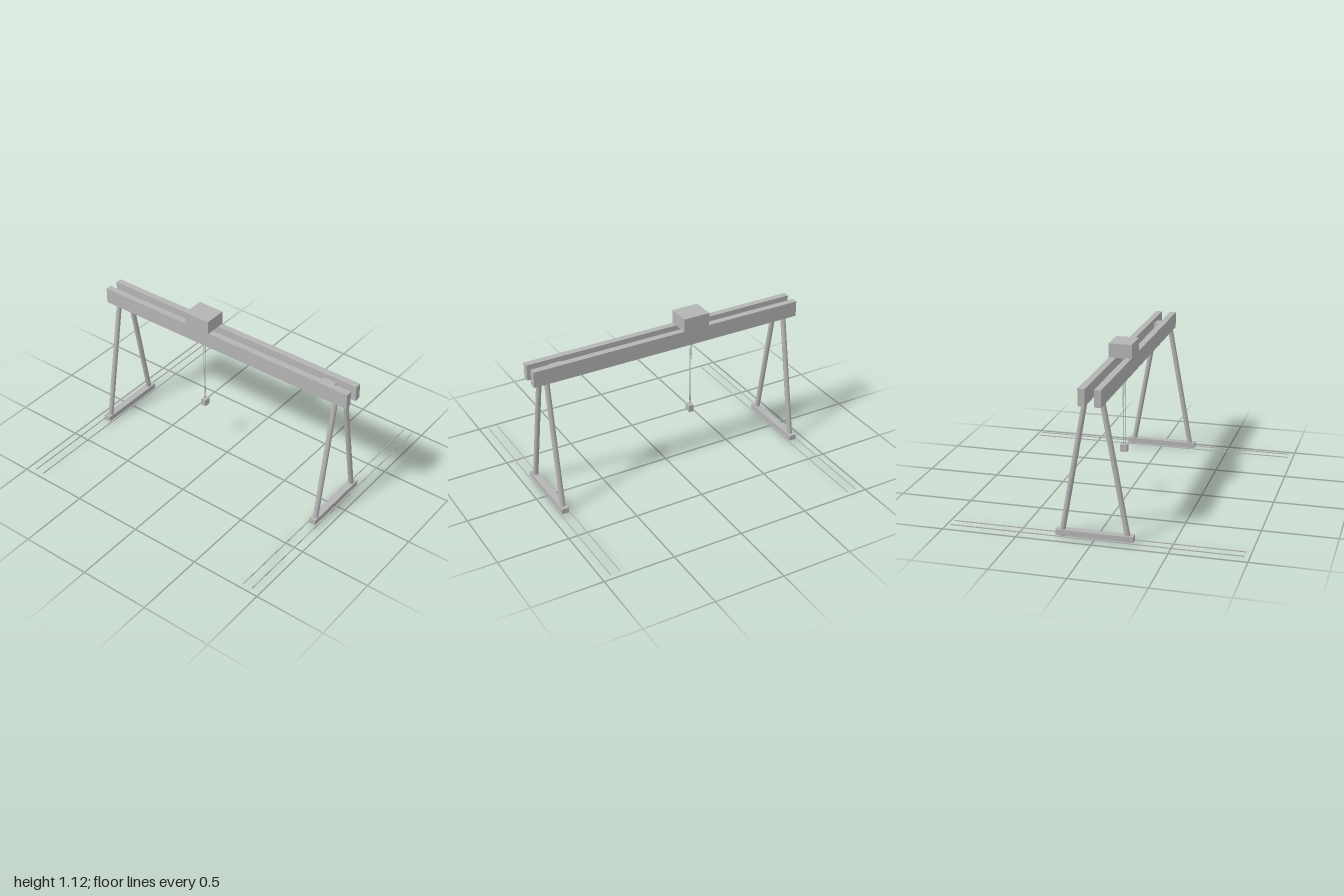
import * as THREE from 'three';

export function createModel() {
  const crane = new THREE.Group();
  crane.name = 'gantryCrane';
  const grey = new THREE.MeshStandardMaterial({ color: 0xb4b4b4 });
  grey.name = 'paintedSteelGrey';

  const add = (name, geometry, x, y, z, parent = crane) => {
    const mesh = new THREE.Mesh(geometry, grey);
    mesh.name = name;
    mesh.position.set(x, y, z);
    parent.add(mesh);
    return mesh;
  };
  const box = (name, w, h, d, x, y, z, parent) =>
    add(name, new THREE.BoxGeometry(w, h, d), x, y, z, parent);

  // Round bar between two points
  const bar = (name, from, to, radius, sides, parent) => {
    const dir = to.clone().sub(from);
    const mid = from.clone().add(to).multiplyScalar(0.5);
    const mesh = add(name, new THREE.CylinderGeometry(radius, radius, dir.length(), sides),
      mid.x, mid.y, mid.z, parent);
    mesh.quaternion.setFromUnitVectors(new THREE.Vector3(0, 1, 0), dir.normalize());
    return mesh;
  };

  // Twin girders
  for (const side of [1, -1]) {
    box(side > 0 ? 'leftGirder' : 'rightGirder', 0.045, 0.112, 2, side * 0.0525, 0.97, 0);
  }

  // Block between the girders near the front end
  box('girderBlock', 0.06, 0.08, 0.095, 0, 0.954, 0.805);

  // A-frame supports with base beam and rails at each end
  for (const end of [1, -1]) {
    const support = new THREE.Group();
    support.name = end > 0 ? 'frontSupport' : 'backSupport';
    crane.add(support);
    const z = end * 0.905;
    box('baseBeam', 0.512, 0.038, 0.05, 0, 0.032, z, support);
    for (const side of [1, -1]) {
      bar(side > 0 ? 'leftLeg' : 'rightLeg',
        new THREE.Vector3(side * 0.222, 0.004, z),
        new THREE.Vector3(side * 0.057, 0.92, z), 0.018, 24, support);
      box('rail', 1.935, 0.006, 0.005, 0, 0.01, z + side * 0.034, support);
    }
  }

  // Trolley with hoist cables and load block
  const hoist = new THREE.Group();
  hoist.name = 'hoist';
  hoist.position.z = -0.195;
  crane.add(hoist);
  box('trolley', 0.158, 0.095, 0.192, 0, 1.073, 0, hoist);
  for (const side of [1, -1]) {
    bar('hoistCable', new THREE.Vector3(side * 0.007, 0.39, 0),
      new THREE.Vector3(side * 0.007, 1.03, 0), 0.002, 8, hoist);
  }
  box('loadBlock', 0.048, 0.05, 0.036, 0, 0.37, 0.003, hoist);

  return crane;
}
